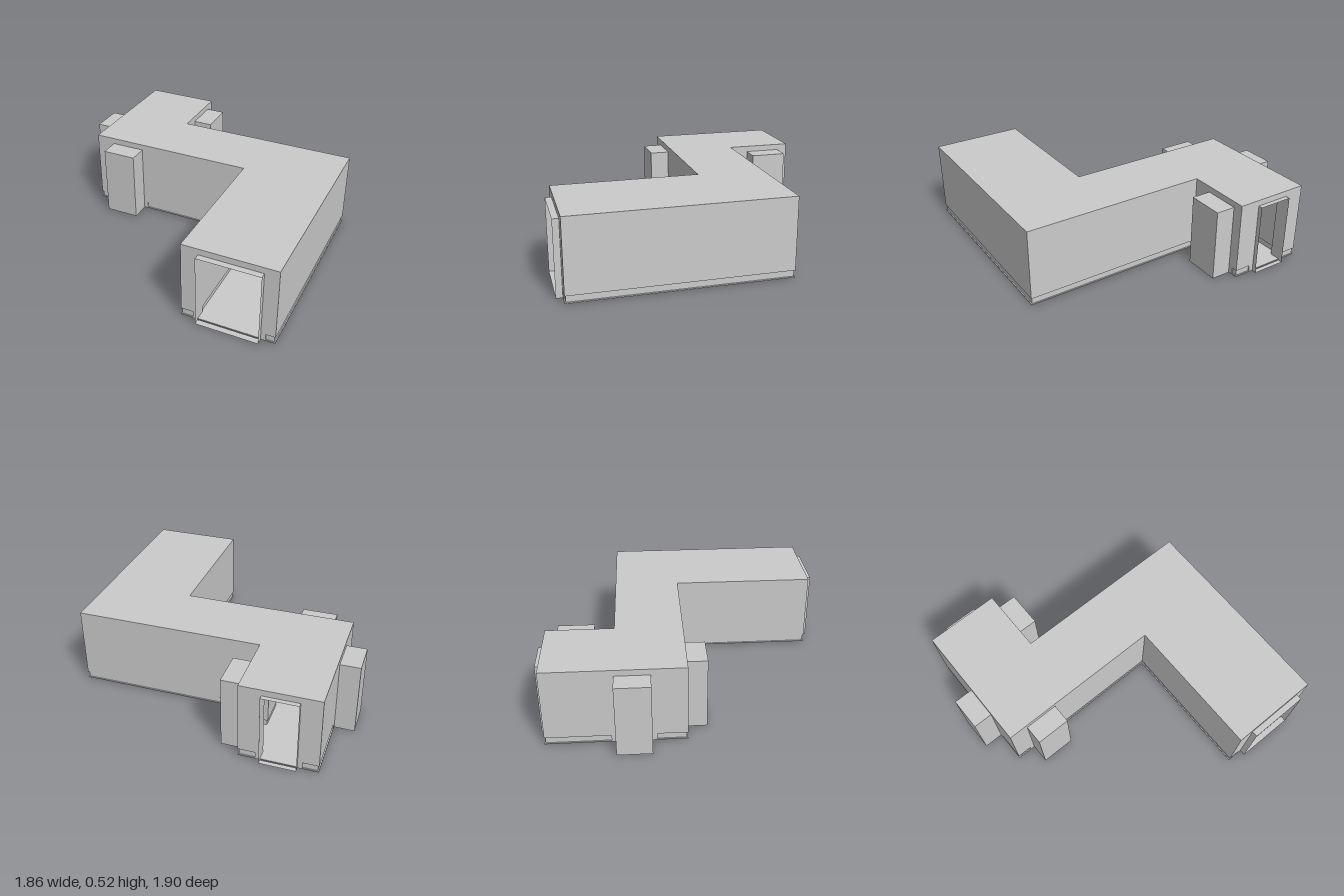
import * as THREE from 'three';

const material = new THREE.MeshStandardMaterial({ color: 0xcccccc, flatShading: true, side: THREE.DoubleSide });

const BASE = 0.01, SKIRT = 0.05, CEILING = 0.48, ROOF = 0.52;

// Ground plan of the whole building, as x, z corners
const outline = [
  [-0.8, -0.87], [-0.3, -0.87], [-0.3, -0.43], [0.93, -0.43],
  [0.93, 0.96], [0.33, 0.96], [0.33, 0.01], [-0.8, 0.01],
];

// Wall runs between one doorway and the next
const wallRuns = [
  [[-0.44, -0.87], [-0.3, -0.87], [-0.3, -0.8], [-0.44, -0.8]],
  [[-0.3, -0.56], [-0.3, -0.43], [0.93, -0.43], [0.93, 0.96],
    [0.84, 0.96], [0.84, -0.33], [-0.4, -0.33], [-0.4, -0.56]],
  [[0.44, 0.96], [0.33, 0.96], [0.33, 0.01], [-0.44, 0.01], [-0.44, -0.09], [0.44, -0.09]],
  [[-0.67, 0.01], [-0.8, 0.01], [-0.8, -0.21], [-0.7, -0.21], [-0.7, -0.09], [-0.67, -0.09]],
  [[-0.8, -0.43], [-0.8, -0.87], [-0.67, -0.87], [-0.67, -0.8], [-0.7, -0.8], [-0.7, -0.43]],
];

// Doorways: centre on the outer wall, turn about y, width, depth outwards
const doorways = [
  { name: 'frontEntrance', x: 0.64, z: 0.96, turn: 0, width: 0.4, depth: 0.04, closed: false },
  { name: 'backEntrance', x: -0.555, z: -0.87, turn: Math.PI, width: 0.23, depth: 0.03, closed: false },
  { name: 'frontAlcove', x: -0.555, z: 0.01, turn: 0, width: 0.23, depth: 0.13, closed: true },
  { name: 'rightAlcove', x: -0.3, z: -0.68, turn: Math.PI / 2, width: 0.24, depth: 0.13, closed: true },
  { name: 'leftAlcove', x: -0.8, z: -0.32, turn: -Math.PI / 2, width: 0.22, depth: 0.13, closed: true },
];

function addMesh(parent, name, geometry) {
  const mesh = new THREE.Mesh(geometry, material);
  mesh.name = name;
  parent.add(mesh);
  return mesh;
}

// Raise a plan from y0 to y1, optionally pulled in from its edges
function raise(points, y0, y1, inset = 0) {
  const shape = new THREE.Shape(points.map(([x, z]) => new THREE.Vector2(x, z)));
  const geometry = new THREE.ExtrudeGeometry(shape, {
    depth: y1 - y0, bevelEnabled: inset > 0, bevelThickness: 0,
    bevelSize: 0, bevelOffset: -inset, bevelSegments: 0,
  });
  return geometry.rotateX(Math.PI / 2).translate(0, y1, 0);
}

// Thin passage that sticks out of the wall, with its foot blocks
function makeDoorway({ name, x, z, turn, width, depth, closed }) {
  const group = new THREE.Group();
  group.name = name;
  group.position.set(x, 0, z);
  group.rotation.y = turn;
  for (const side of [-1, 1]) {
    const jamb = new THREE.PlaneGeometry(depth, CEILING).rotateY(side * Math.PI / 2);
    addMesh(group, 'passageSide', jamb.translate(side * width / 2, CEILING / 2, depth / 2));
    const foot = new THREE.BoxGeometry(0.03, SKIRT - BASE, 0.07);
    addMesh(group, 'footBlock', foot.translate(side * (width / 2 + 0.015), (SKIRT + BASE) / 2, -0.035));
  }
  const top = new THREE.PlaneGeometry(width, depth).rotateX(-Math.PI / 2);
  addMesh(group, 'passageRoof', top.clone().translate(0, CEILING, depth / 2));
  addMesh(group, 'passageFloor', top.translate(0, 0, depth / 2));
  if (closed) {
    addMesh(group, 'passageEnd', new THREE.PlaneGeometry(width, CEILING).translate(0, CEILING / 2, depth));
  }
  return group;
}

export function createModel() {
  const model = new THREE.Group();
  model.name = 'corridorBuilding';

  addMesh(model, 'floor', raise(outline, 0.003, BASE));
  addMesh(model, 'roof', raise(outline, CEILING, ROOF));

  // Walls stand on a slightly recessed footing
  for (const run of wallRuns) {
    addMesh(model, 'wall', raise(run, SKIRT, CEILING));
    addMesh(model, 'footing', raise(run, BASE, SKIRT, 0.007));
  }
  for (const doorway of doorways) model.add(makeDoorway(doorway));
  return model;
}
